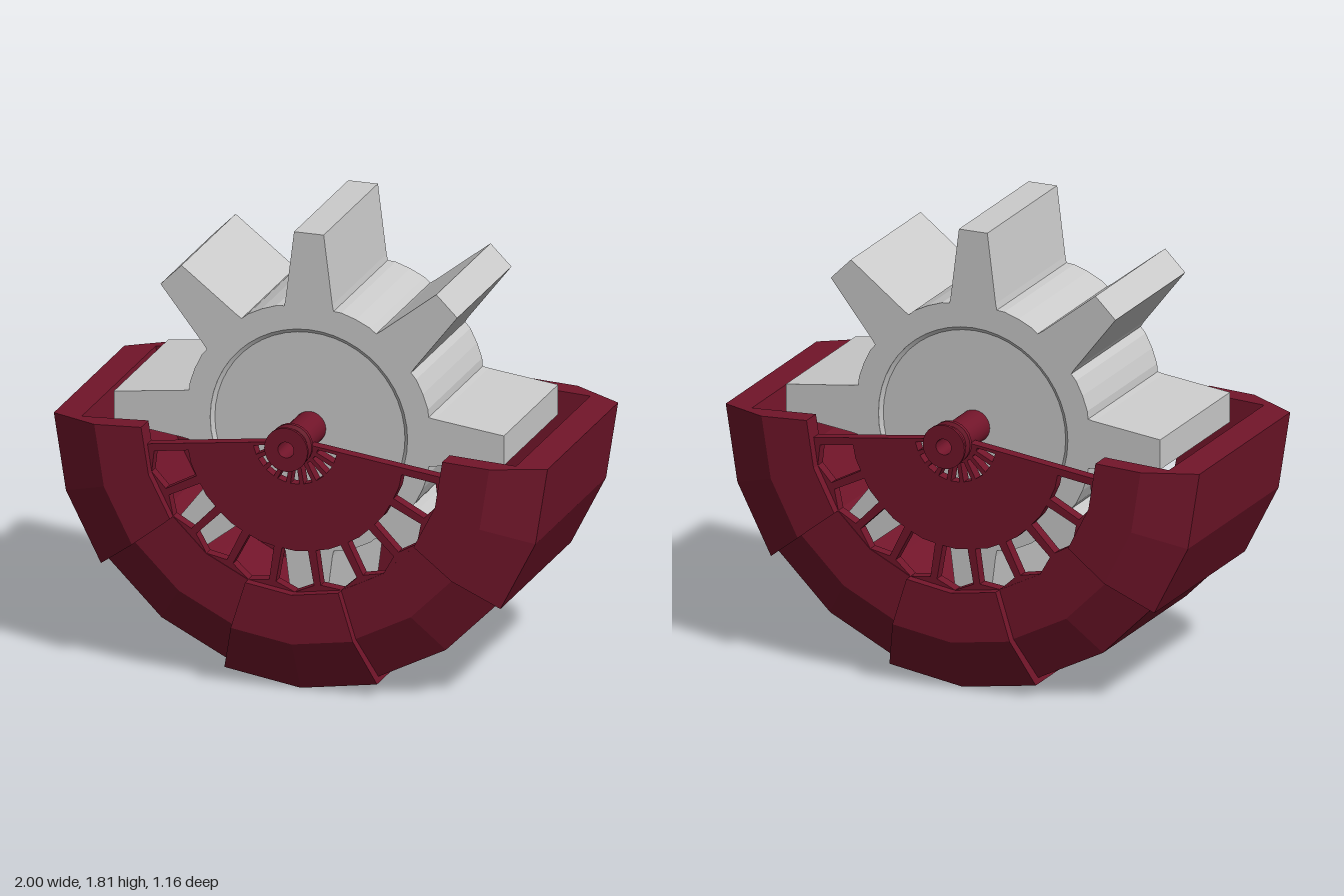
import * as THREE from 'three';
import { toCreasedNormals } from 'three/addons/utils/BufferGeometryUtils.js';

const AXIS_Y = 1.02;
const STEP = Math.PI / 10; // 18 degrees, spacing of facets, windows and spokes
const grey = new THREE.MeshStandardMaterial({ color: 0xcccccc, flatShading: true });
const red = new THREE.MeshStandardMaterial({ color: 0x72152a, flatShading: true });
const greySmooth = new THREE.MeshStandardMaterial({ color: 0xcccccc });
const redSmooth = new THREE.MeshStandardMaterial({ color: 0x72152a });

const polar = (r, a) => new THREE.Vector2(r * Math.cos(a), r * Math.sin(a));

function addMesh(parent, name, geometry, material) {
  const mesh = new THREE.Mesh(geometry, material);
  mesh.name = name;
  parent.add(mesh);
  return mesh;
}

// Lathe turned about the z axis
function turned(points, segments) {
  const g = new THREE.LatheGeometry(points.map(([r, z]) => new THREE.Vector2(r, z)), segments);
  g.rotateX(Math.PI / 2);
  return toCreasedNormals(g, 0.5);
}

// Eight tapered teeth around a round body
function gearGeometry() {
  const pts = [];
  for (let i = 0; i < 8; i++) {
    const a = i * Math.PI / 4;
    const at = (r, w) => new THREE.Vector2(r, w).rotateAround(new THREE.Vector2(), a);
    pts.push(at(0.485, -0.1), at(0.51, -0.095), at(0.79, -0.06), at(0.79, 0.06), at(0.51, 0.095), at(0.485, 0.1));
    for (const f of [0.34, 0.5, 0.66]) pts.push(polar(0.5, a + f * Math.PI / 4));
  }
  const shape = new THREE.Shape(pts);
  shape.holes.push(new THREE.Path().absarc(0, 0, 0.4, 0, Math.PI * 2, true));
  return new THREE.ExtrudeGeometry(shape, { depth: 0.63, bevelEnabled: false, curveSegments: 24 })
    .translate(0, 0, -0.315);
}

// Channel section (radius, z) swept over two facets of the bowl
function panelGeometry(a0, R, edgeZ, sideZ) {
  const section = [[0.61, -sideZ], [0.8, -sideZ], [R, -edgeZ], [R, edgeZ], [0.8, sideZ], [0.61, sideZ],
    [0.61, 0.43], [0.88, 0.43], [0.88, -0.43], [0.61, -0.43]];
  const point = ([r, z], a) => [r * Math.cos(a), 1 + (1 - r) * 0.05 + r * Math.sin(a), z];
  const pos = [];
  const tri = (a, b, c) => pos.push(...a, ...b, ...c);
  for (let s = 0; s < 2; s++) {
    const lo = a0 + s * STEP, hi = lo + STEP;
    section.forEach((p, i) => {
      const q = section[(i + 1) % section.length];
      tri(point(p, lo), point(p, hi), point(q, hi));
      tri(point(p, lo), point(q, hi), point(q, lo));
    });
  }
  const faces = THREE.ShapeUtils.triangulateShape(section.map(([r, z]) => new THREE.Vector2(r, z)), []);
  for (const [i, j, k] of faces) {
    const [p, q, r] = [section[i], section[j], section[k]];
    tri(point(p, a0), point(q, a0), point(r, a0));
    const a1 = a0 + 2 * STEP;
    tri(point(p, a1), point(r, a1), point(q, a1));
  }
  const g = new THREE.BufferGeometry();
  g.setAttribute('position', new THREE.Float32BufferAttribute(pos, 3));
  g.computeVertexNormals();
  return g;
}

// Half disc with a ring of windows between spokes and a fan of slots at the hub
function sidePlateGeometry() {
  const first = -Math.PI + 0.13, last = -0.13;
  const outline = [];
  for (let i = 0; i <= 30; i++) outline.push(polar(0.63, first + (last - first) * i / 30));
  for (let i = 0; i <= 10; i++) outline.push(polar(0.06, last + (first - last) * i / 10));
  const shape = new THREE.Shape(outline);
  for (let k = 1; k <= 9; k++) {
    const a = -k * STEP;
    shape.holes.push(new THREE.Path([
      polar(0.44, a - 0.12), polar(0.58, a - 0.133), polar(0.61, a),
      polar(0.58, a + 0.133), polar(0.44, a + 0.12), polar(0.443, a)]));
    shape.holes.push(new THREE.Path([
      polar(0.095, a - 0.07), polar(0.172, a - 0.105), polar(0.172, a + 0.105), polar(0.095, a + 0.07)]));
  }
  return new THREE.ExtrudeGeometry(shape, { depth: 0.045, bevelEnabled: false });
}

export function createModel() {
  const model = new THREE.Group();
  model.name = 'gearInBowl';

  // Gear wheel with shallow recessed faces
  const wheel = new THREE.Group();
  wheel.name = 'wheel';
  wheel.position.y = AXIS_Y;
  model.add(wheel);
  addMesh(wheel, 'gear', gearGeometry(), grey);
  addMesh(wheel, 'gearFaces', turned([[0.04, -0.303], [0.385, -0.303], [0.402, -0.315],
    [0.402, 0.315], [0.385, 0.303], [0.04, 0.303]], 48), greySmooth);

  // Hollow axle with flanged ends
  const half = [[0.065, 0.5], [0.085, 0.508], [0.085, 0.525], [0.07, 0.53], [0.07, 0.565],
    [0.088, 0.57], [0.088, 0.582], [0.032, 0.582]];
  const mirrored = half.map(([r, z]) => [r, -z]).reverse();
  addMesh(wheel, 'axle', turned([...mirrored, ...half, mirrored[0]], 24), redSmooth);

  // Five bowl panels, raised and inset in turn
  const bowl = new THREE.Group();
  bowl.name = 'bowl';
  model.add(bowl);
  for (let i = 0; i < 5; i++) {
    const a0 = -Math.PI + i * 2 * STEP;
    const raised = i % 2 === 0;
    addMesh(bowl, raised ? 'raisedPanel' : 'insetPanel',
      raised ? panelGeometry(a0, 1, 0.41, 0.515) : panelGeometry(a0, 0.98, 0.375, 0.48), red);
  }

  // Spoked side plates, front and back
  const plate = sidePlateGeometry();
  for (const [name, z] of [['frontPlate', 0.432], ['backPlate', -0.477]]) {
    addMesh(model, name, plate, red).position.set(0, AXIS_Y, z);
  }
  return model;
}
